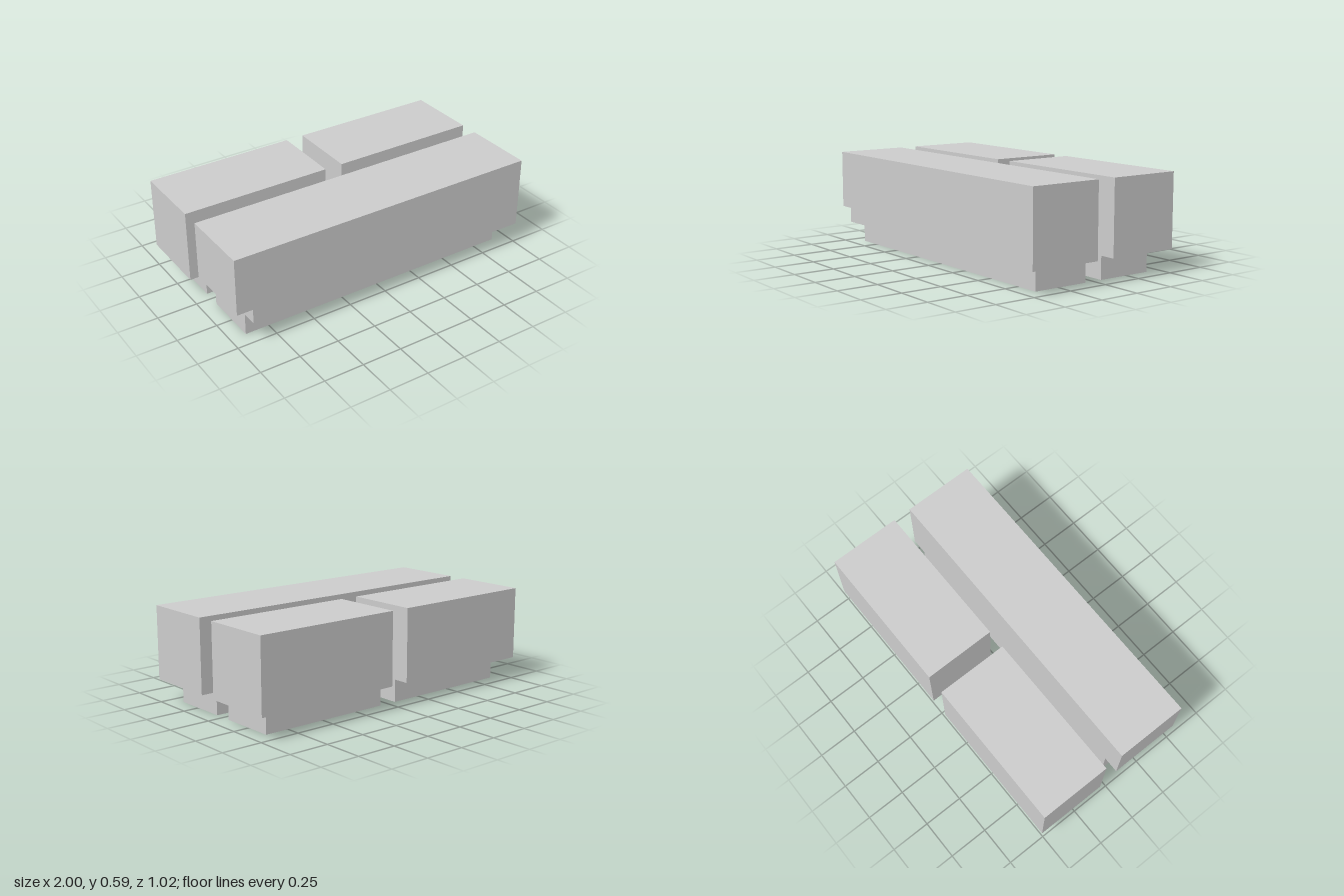
import * as THREE from 'three';

const TOP = 0.588, STEP = 0.138, NOTCH = 0.23; // heights
const GAP = 0.058, DEPTH = 0.51, INSET = 0.1;  // half gap, outer z, plinth setback

const material = new THREE.MeshStandardMaterial({ color: 0xcccccc, flatShading: true });

// Box given by its min and max on each axis
function block(name, [x0, x1], [y0, y1], [z0, z1]) {
  const geometry = new THREE.BoxGeometry(x1 - x0, y1 - y0, z1 - z0);
  geometry.translate((x0 + x1) / 2, (y0 + y1) / 2, (z0 + z1) / 2);
  const mesh = new THREE.Mesh(geometry, material);
  mesh.name = name;
  return mesh;
}

export function createModel() {
  const model = new THREE.Group();
  model.name = 'buildingBlocks';

  // Long front block, its lower corner at -x cut away
  const outline = new THREE.Shape([
    [-1, NOTCH], [-1 + INSET, NOTCH], [-1 + INSET, STEP], [1, STEP], [1, TOP], [-1, TOP],
  ].map(([x, y]) => new THREE.Vector2(x, y)));
  const geometry = new THREE.ExtrudeGeometry(outline, { depth: DEPTH - GAP, bevelEnabled: false });
  geometry.translate(0, 0, GAP);
  const front = new THREE.Mesh(geometry, material);
  front.name = 'frontBlock';
  model.add(front);

  // Plinth set back under the front block
  model.add(block('frontPlinth', [-1 + INSET, 1 - INSET], [0, STEP], [GAP, DEPTH - INSET]));

  // Two shorter back blocks on their plinths
  for (const [side, s] of [['left', 1], ['right', -1]]) {
    const span = (outer) => (s > 0 ? [GAP, outer] : [-outer, -GAP]);
    model.add(block(side + 'BackBlock', span(1), [STEP, TOP], [-DEPTH, -GAP]));
    model.add(block(side + 'BackPlinth', span(1 - INSET), [0, STEP], [-DEPTH + INSET, -GAP]));
  }
  return model;
}
